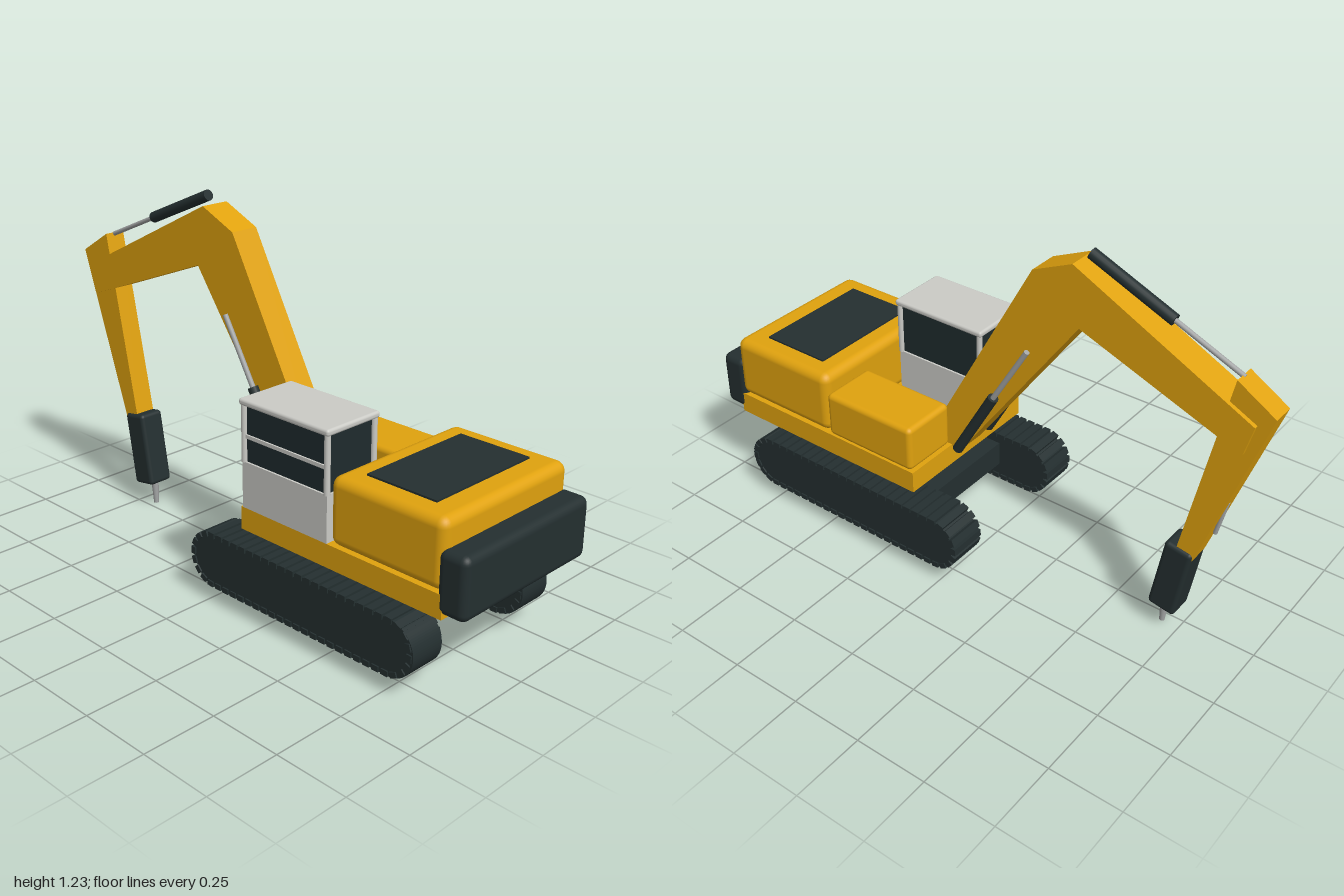
import * as THREE from 'three';
import { RoundedBoxGeometry } from 'three/addons/geometries/RoundedBoxGeometry.js';

function makeMaterial(name, color) {
  const m = new THREE.MeshStandardMaterial({ color });
  m.name = name;
  return m;
}

export function createModel() {
  const yellow = makeMaterial('yellow paint', 0xe0a20e);
  const dark = makeMaterial('dark steel', 0x242f30);
  const glass = makeMaterial('dark glass', 0x1f2b2d);
  const pale = makeMaterial('pale cab paint', 0xcbcbc6);
  const metal = makeMaterial('bare metal', 0xa3a5a5);

  const model = new THREE.Group();
  model.name = 'excavator';
  const add = (name, geometry, material, parent = model) => {
    const mesh = new THREE.Mesh(geometry, material);
    mesh.name = name;
    parent.add(mesh);
    return mesh;
  };

  // Box given by its limits, with rounded edges when r is set
  const box = (name, material, [x0, x1], [y0, y1], [z0, z1], r = 0, parent = model) => {
    const size = [x1 - x0, y1 - y0, z1 - z0];
    const g = r ? new RoundedBoxGeometry(...size, 3, r) : new THREE.BoxGeometry(...size);
    const mesh = add(name, g, material, parent);
    mesh.position.set((x0 + x1) / 2, (y0 + y1) / 2, (z0 + z1) / 2);
    return mesh;
  };

  // Side profile of [z, y] points, extruded between two x limits
  const profile = (name, material, points, x0, x1) => {
    const shape = new THREE.Shape(points.map(([z, y]) => new THREE.Vector2(-z, y)));
    const g = new THREE.ExtrudeGeometry(shape, { depth: x1 - x0, bevelEnabled: false });
    g.rotateY(Math.PI / 2);
    g.translate(x0, 0, 0);
    return add(name, g, material);
  };

  // Cylinder between two [z, y] points at a given x
  const rod = (name, material, x, a, b, r0, r1 = r0) => {
    const p = new THREE.Vector3(x, a[1], a[0]);
    const q = new THREE.Vector3(x, b[1], b[0]);
    const d = q.clone().sub(p);
    const mesh = add(name, new THREE.CylinderGeometry(r1, r0, d.length(), 16), material);
    mesh.position.copy(p).add(q).multiplyScalar(0.5);
    mesh.quaternion.setFromUnitVectors(new THREE.Vector3(0, 1, 0), d.normalize());
    return mesh;
  };

  // Crawler tracks: a smooth belt with shoes running round it
  const makeTrack = (side) => {
    const track = new THREE.Group();
    track.name = side > 0 ? 'leftTrack' : 'rightTrack';
    track.position.set(side * 0.2575, 0.148, 0.397);
    model.add(track);
    const half = 0.365, r = 0.0925;
    const shape = new THREE.Shape();
    shape.absarc(half, 0, r, -Math.PI / 2, Math.PI / 2, false);
    shape.absarc(-half, 0, r, Math.PI / 2, Math.PI * 1.5, false);
    const belt = new THREE.ExtrudeGeometry(shape, { depth: 0.126, bevelEnabled: false, curveSegments: 20 });
    belt.translate(0, 0, -0.063);
    belt.rotateY(Math.PI / 2);
    add('belt', belt, dark, track);

    const count = 58, straight = 2 * half, arc = Math.PI * r;
    const shoe = new THREE.BoxGeometry(0.136, 0.018, 0.025);
    for (let i = 0; i < count; i++) {
      let s = (i / count) * 2 * (straight + arc);
      const flip = s >= straight + arc ? -1 : 1;
      if (flip < 0) s -= straight + arc;
      const angle = s < straight ? 0 : (s - straight) / r;
      const z = s < straight ? -half + s : half + Math.sin(angle) * (r - 0.005);
      const y = Math.cos(angle) * (r - 0.005);
      const mesh = add('trackShoe', shoe, dark, track);
      mesh.position.set(0, y * flip + 0.003, z * flip - 0.009);
      mesh.rotation.x = angle + (flip < 0 ? Math.PI : 0);
    }
  };
  makeTrack(1);
  makeTrack(-1);

  // Undercarriage and slewing ring
  box('crossFrame', dark, [-0.2, 0.2], [0.115, 0.205], [0.14, 0.65]);
  const ring = add('slewRing', new THREE.CylinderGeometry(0.16, 0.16, 0.048, 40), dark);
  ring.position.set(0, 0.267, 0.395);

  // Upper structure
  box('platform', yellow, [-0.29, 0.288], [0.288, 0.365], [0.128, 0.92]);
  box('engineHousing', yellow, [-0.29, 0.288], [0.365, 0.587], [0.497, 0.92], 0.032);
  box('hoodPanel', dark, [-0.215, 0.215], [0.584, 0.593], [0.575, 0.83]);
  box('sideTank', yellow, [0.082, 0.286], [0.363, 0.525], [0.138, 0.5], 0.018);
  box('counterweight', dark, [-0.292, 0.29], [0.3, 0.5], [0.897, 1], 0.026);

  // Operator cab
  const cab = new THREE.Group();
  cab.name = 'cab';
  model.add(cab);
  box('cabBase', pale, [-0.29, -0.08], [0.362, 0.52], [0.135, 0.49], 0, cab);
  box('cabGlass', glass, [-0.283, -0.087], [0.52, 0.706], [0.142, 0.483], 0, cab);
  box('cabRoof', pale, [-0.297, -0.071], [0.703, 0.725], [0.125, 0.497], 0.009, cab);
  for (const x of [-0.285, -0.085]) {
    for (const z of [0.14, 0.485]) {
      const post = add('cabPost', new THREE.CylinderGeometry(0.01, 0.01, 0.19, 12), pale, cab);
      post.position.set(x, 0.613, z);
    }
  }
  box('doorRail', pale, [-0.289, -0.281], [0.598, 0.61], [0.14, 0.485], 0, cab);

  // Boom and stick
  profile('boom', yellow, [
    [0.23, 0.36], [0.09, 0.36], [-0.36, 0.99], [-0.917, 0.78],
    [-0.945, 0.885], [-0.33, 1.193], [-0.19, 1.13],
  ], -0.021, 0.084);
  profile('stick', yellow, [
    [-0.87, 1.005], [-0.73, 0.33], [-0.79, 0.32], [-1, 0.925],
  ], -0.006, 0.07);

  // Hydraulic cylinders
  for (const x of [-0.052, 0.112]) {
    rod('boomCylinder', dark, x, [0.08, 0.385], [-0.067, 0.645], 0.018);
    rod('boomCylinderRod', metal, x, [-0.06, 0.633], [-0.195, 0.862], 0.009);
  }
  rod('stickCylinder', dark, 0.032, [-0.36, 1.217], [-0.645, 1.096], 0.019);
  rod('stickCylinderRod', metal, 0.032, [-0.64, 1.098], [-0.875, 0.998], 0.008);
  rod('toolLinkRod', metal, 0.032, [-0.868, 0.56], [-0.838, 0.43], 0.007);

  // Hydraulic breaker with its chisel
  const breaker = add('breaker', new RoundedBoxGeometry(0.096, 0.27, 0.097, 3, 0.014), dark);
  breaker.position.set(0.032, 0.217, -0.722);
  breaker.rotation.x = -0.17;
  rod('chisel', metal, 0.032, [-0.692, 0.11], [-0.687, 0], 0.015, 0.009);

  return model;
}
